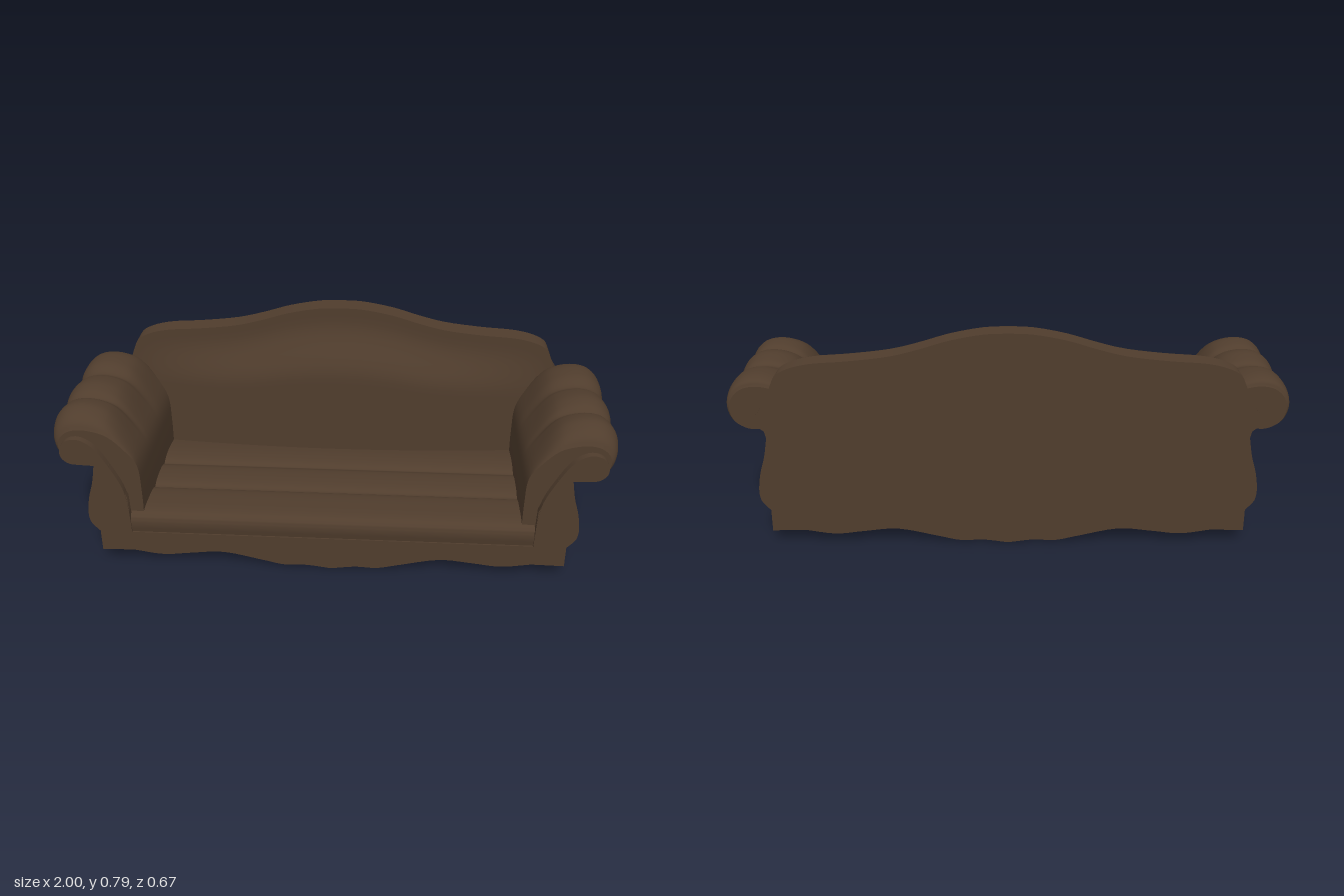
import * as THREE from 'three';
import { toCreasedNormals } from 'three/addons/utils/BufferGeometryUtils.js';

const brown = new THREE.MeshStandardMaterial({ color: 0x503d2d, side: THREE.DoubleSide });
brown.name = 'brown upholstery';

const curve = (pts, n) =>
  new THREE.CatmullRomCurve3(pts.map(([x, y]) => new THREE.Vector3(x, y, 0)), false, 'centripetal')
    .getPoints(n).map(p => [p.x, p.y]);

// half outline (x >= 0) completed with its mirror image
const mirrored = half => [...half, ...half.map(([x, y]) => [-x, y]).reverse()];

// outline extruded from z0 to z1, smooth along its curves
function slab(pts, z0, z1) {
  const shape = new THREE.Shape(pts.map(([x, y]) => new THREE.Vector2(x, y)));
  const geo = new THREE.ExtrudeGeometry(shape, { depth: z1 - z0, bevelEnabled: false });
  return toCreasedNormals(geo.translate(0, 0, z0), 0.7);
}

// smooth surface sampled from a rule fn(u, v) -> [x, y, z]
function surface(nu, nv, fn) {
  const pos = [], idx = [];
  for (let i = 0; i <= nu; i++) for (let j = 0; j <= nv; j++) {
    pos.push(...fn(i / nu, j / nv));
    if (i < nu && j < nv) {
      const a = i * (nv + 1) + j, b = a + nv + 1;
      idx.push(a, b, a + 1, b, b + 1, a + 1);
    }
  }
  const geo = new THREE.BufferGeometry();
  geo.setAttribute('position', new THREE.Float32BufferAttribute(pos, 3));
  geo.setIndex(idx);
  geo.computeVertexNormals();
  return geo;
}

// outlines shared by several parts, right half only
const bottom = curve([[0.01, 0], [0.09, 0.01], [0.17, 0.008], [0.25, 0.025], [0.4, 0.055],
  [0.52, 0.045], [0.62, 0.035], [0.73, 0.05]], 32);
const side = curve([[0.848, 0.13], [0.877, 0.165], [0.884, 0.2], [0.875, 0.27], [0.855, 0.34], [0.842, 0.41]], 18);
const foot = [[0.848, 0.048]];
const crest = curve([[0.01, 0.79], [0.08, 0.787], [0.2, 0.765], [0.3, 0.735], [0.4, 0.71], [0.55, 0.692],
  [0.68, 0.682], [0.75, 0.665], [0.795, 0.64], [0.815, 0.6]], 36);

function crestHeight(x) {
  const a = Math.abs(x);
  let i = 1;
  while (i < crest.length - 1 && crest[i][0] < a) i++;
  const [x0, y0] = crest[i - 1], [x1, y1] = crest[i];
  return y0 + (y1 - y0) * THREE.MathUtils.clamp((a - x0) / (x1 - x0), 0, 1);
}

// arm cross-section and its tufting along the depth: [z, fullness]
const armProfile = curve([[0.685, 0.18], [0.685, 0.3], [0.692, 0.4], [0.73, 0.48], [0.79, 0.565], [0.84, 0.592],
  [0.9, 0.6], [0.95, 0.587], [0.987, 0.55], [1, 0.5], [0.982, 0.445], [0.93, 0.412], [0.89, 0.41],
  [0.845, 0.42], [0.81, 0.4], [0.8, 0.2]], 60);
const tufts = curve([[-0.25, 0.84], [-0.235, 0.95], [-0.19, 1], [-0.12, 0.99], [-0.055, 0.88], [-0.02, 0.95],
  [0.05, 1], [0.1, 0.96], [0.135, 0.86], [0.165, 0.95], [0.22, 0.99], [0.265, 0.93], [0.295, 0.82], [0.31, 0.68]], 60);

function armPoint([x, y], s, sign) {
  const px = x > 0.85 ? 0.85 + (x - 0.85) * (0.35 + 0.65 * s) : x;
  return [sign * px, y > 0.41 ? 0.41 + (y - 0.41) * s : y];
}

export function createModel() {
  const sofa = new THREE.Group();
  sofa.name = 'sofa';
  const add = (name, geo) => {
    const mesh = new THREE.Mesh(geo, brown);
    mesh.name = name;
    sofa.add(mesh);
  };

  // scalloped base with the flared arm bodies
  add('base', slab(mirrored([...bottom, ...foot, ...side, [0.79, 0.41], [0.735, 0.28], [0.73, 0.13]]), -0.333, 0.333));

  // back panel with its serpentine crest
  const backSide = [[0.842, 0.41], [0.848, 0.435], [0.88, 0.46], [0.882, 0.48], [0.855, 0.52], [0.83, 0.56]];
  add('backPanel', slab(mirrored([...bottom, ...foot, ...side, ...backSide, ...crest.slice().reverse()]), -0.334, -0.25));

  // padded front of the back, fullest in the middle
  add('backCushion', surface(40, 24, (u, v) => {
    const x = (u * 2 - 1) * 0.813;
    const y = 0.15 + (crestHeight(x) - 0.15) * v;
    const fade = 1 - THREE.MathUtils.smoothstep(v, 0.58, 0.92);
    return [x, y, -0.248 + 0.066 * (1 - (x / 0.815) ** 2) * fade];
  }));

  // fluted seat cushion, profile given as [-z, y] and run across the width
  const seatTop = [...curve([[-0.328, 0.13], [-0.334, 0.165], [-0.329, 0.195], [-0.305, 0.21], [-0.22, 0.214], [-0.15, 0.207], [-0.13, 0.197]], 24),
    ...curve([[-0.125, 0.197], [-0.1, 0.208], [-0.04, 0.213], [0.02, 0.207], [0.04, 0.197]], 14),
    ...curve([[0.045, 0.197], [0.07, 0.208], [0.13, 0.213], [0.2, 0.206], [0.25, 0.197]], 14), [0.25, 0.13]];
  add('seatCushion', slab(seatTop, -0.73, 0.73).rotateY(Math.PI / 2));

  // front scroll outline
  const scroll = [[0.73, 0.13], ...curve([[0.733, 0.22], [0.745, 0.31], [0.785, 0.4], [0.835, 0.48], [0.87, 0.507],
    [0.9, 0.515], [0.935, 0.505], [0.957, 0.475], [0.955, 0.44], [0.93, 0.417], [0.89, 0.412], [0.842, 0.41]], 40),
    [0.84, 0.2], [0.84, 0.13]];

  for (const [label, sign] of [['left', 1], ['right', -1]]) {
    // tufted rolled arm
    add(label + 'Arm', surface(tufts.length - 1, armProfile.length - 1, (u, v) => {
      const [z, s] = tufts[Math.round(u * (tufts.length - 1))];
      return [...armPoint(armProfile[Math.round(v * (armProfile.length - 1))], s, sign), z];
    }));
    // closed ends of the roll
    for (const [end, [z, s]] of [['Front', tufts[tufts.length - 1]], ['Back', tufts[0]]]) {
      const shape = new THREE.Shape(armProfile.map(p => new THREE.Vector2(...armPoint(p, s, sign))));
      add(label + 'Arm' + end, new THREE.ShapeGeometry(shape).translate(0, 0, z));
    }
    // scrolled facing on the arm front
    add(label + 'ArmScroll', slab(scroll.map(([x, y]) => [sign * x, y]), 0.305, 0.335));
  }
  return sofa;
}
